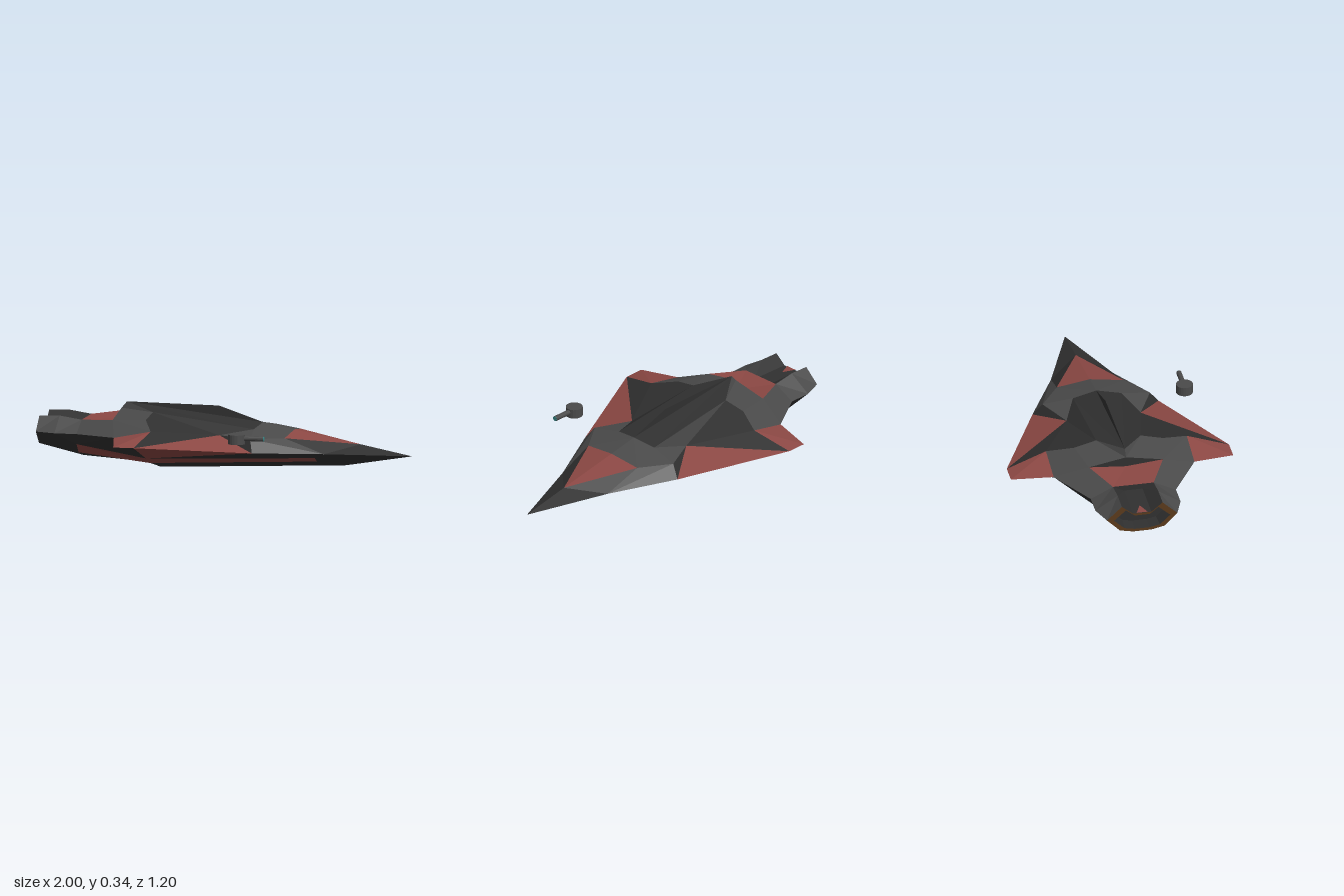
import * as THREE from 'three';

const DARK = 0x303030, GREY = 0x4a4a4a, RED = 0x8c4844, BROWN = 0x5a3a1c;
const UP = [0, 1, 0], DOWN = [0, -1, 0], BACK = [-1, 0, 0];

// Key hull points of the +z half; x runs towards the nose
const P = {
  // outline, nose to tail
  N: [1, 0.1, 0], O1: [0.56, 0.12, 0.167], O2: [0.21, 0.137, 0.34],
  W1: [-0.37, 0.182, 0.6], W2: [-0.48, 0.182, 0.6], O3: [-0.53, 0.2, 0.38],
  O4: [-0.77, 0.19, 0.23], O5: [-0.89, 0.19, 0.23], O6: [-1, 0.19, 0.19],
  // raised deck
  R0: [-0.55, 0.34, 0], R1: [-0.05, 0.335, 0], F0: [0.19, 0.255, 0], F1: [0.17, 0.235, 0.13],
  D: [-0.38, 0.305, 0.12], H: [-0.39, 0.28, 0.24], S: [-0.33, 0.24, 0.38],
  RE: [-0.58, 0.268, 0.2], RC: [-0.58, 0.305, 0], RB: [-0.58, 0.25, 0],
  // shoulders and nose top
  I0: [0, 0.207, 0.2], I1: [0.19, 0.205, 0.29], G0: [0.36, 0.222, 0],
  G1: [0.35, 0.2, 0.18], T0: [0.72, 0.155, 0],
  // tail top with its centre channel
  Q: [-0.77, 0.25, 0.11], Q0: [-0.77, 0.25, 0], E1: [-0.89, 0.268, 0.11], E2: [-1, 0.265, 0.11],
  C1: [-0.77, 0.22, 0.05], C2: [-1, 0.215, 0.05], C10: [-0.77, 0.22, 0], C20: [-1, 0.215, 0],
  M0: [-0.93, 0.219, 0], M1: [-1, 0.218, 0.03], M2: [-1, 0.218, 0],
  // keel and lower chines
  K0: [0.64, 0.04, 0], K1: [-0.36, 0, 0.02], K2: [-0.4, 0.022, 0.02], K3: [-0.78, 0.05, 0.03],
  K4: [-1, 0.105, 0.05], Z1: [-0.36, 0, 0], Z2: [-0.4, 0.022, 0], Z3: [-0.78, 0.05, 0], Z4: [-1, 0.105, 0],
  a1: [0.5, 0.065, 0.07], a2: [-0.37, 0.05, 0.23], a3: [-0.78, 0.08, 0.14],
  b1: [0.5, 0.09, 0.12], b2: [-0.37, 0.087, 0.32], b3: [-0.78, 0.13, 0.185],
  T: [-1, 0.12, 0.12],
};

// Nozzle opening: inset copies of the tail section, recessed for the back wall
const rim = ['C20', 'C2', 'E2', 'O6', 'T', 'K4', 'Z4'];
for (const k of rim) {
  const [, y, z] = P[k];
  P['i' + k] = [-1, 0.165 + (y - 0.165) * 0.75, z * 0.8];
  P['j' + k] = [-0.92, 0.165 + (y - 0.165) * 0.7, z * 0.75];
}
const ring = (a, b) => rim.slice(1).map((k, i) => [a + rim[i], a + k, b + k, b + rim[i]].join(' '));

// Panels: name, color, facing, polygons as point names (fanned from the first)
const panels = [
  ['deck', DARK, UP, ['R0 R1 F0 F1 D', 'I0 W1 S H D F1']],
  ['deckRear', GREY, UP, ['R0 D RC', 'D H RE RC']],
  ['deckBackWall', DARK, BACK, ['RC RE RB']],
  ['rearShoulder', GREY, UP, ['RE H S O3 O4 Q']],
  ['rearSaddle', RED, UP, ['RB RE Q Q0']],
  ['wingTop', RED, UP, ['I0 W1 O2', 'S W1 W2 O3']],
  ['intakeSide', DARK, UP, ['I0 I1 O2']],
  ['frontShoulder', GREY, UP, ['F0 F1 G1 G0', 'F1 I0 I1 G1', 'I1 O2 O1 G1']],
  ['nosePanel', RED, UP, ['G0 G1 T0']],
  ['noseSide', DARK, UP, ['G1 O1 T0', 'T0 O1 N']],
  ['tailRidge', GREY, UP, ['Q O4 O5 E1', 'E1 O5 O6 E2']],
  ['tailChannel', DARK, UP, ['C1 Q E1 E2 C2', 'C10 C1 C2 C20']],
  ['channelStep', DARK, BACK, ['Q0 Q C1 C10']],
  ['tailMark', RED, UP, ['M0 M1 M2']],
  ['belly', DARK, DOWN, ['N O1 b1 a1 K0', 'K0 a1 a2 K1', 'K1 a2 K2', 'K2 a2 a3 K3', 'K3 a3 T K4',
    'K0 K1 Z1', 'K1 K2 Z2 Z1', 'K2 K3 Z3 Z2', 'K3 K4 Z4 Z3']],
  ['lowerSide', DARK, DOWN, ['O1 O2 b2 b1', 'W1 W2 O3 b2', 'O3 O4 b3 b2', 'O5 O6 T a3 b3 O4']],
  ['bellyStripe', RED, DOWN, ['a1 b1 b2 a2', 'a2 b2 b3 a3']],
  ['wingUnderside', RED, DOWN, ['O2 W1 b2']],
  ['nozzleRim', BROWN, BACK, ring('', 'i')],
  ['nozzleWall', DARK, BACK, ring('i', 'j')],
  ['nozzleBack', DARK, BACK, ['jO6 jT jK4 jZ4 jC20 jC2 jE2']],
];

const material = (color) => new THREE.MeshStandardMaterial({ color, flatShading: true, side: THREE.DoubleSide });

// Fan each polygon, turn it towards its facing and mirror it across z
function panelGeometry(facing, polys) {
  const out = [], hint = new THREE.Vector3(...facing);
  for (const poly of polys) {
    const pts = poly.split(' ').map((k) => P[k]);
    for (const s of [1, -1]) {
      const v = pts.map(([x, y, z]) => new THREE.Vector3(x, y, z * s));
      for (let i = 1; i < v.length - 1; i++) {
        const tri = [v[0], v[i], v[i + 1]];
        const n = new THREE.Triangle(...tri).getNormal(new THREE.Vector3());
        if (n.dot(hint) < 0) tri.reverse();
        tri.forEach((p) => out.push(p.x, p.y, p.z));
      }
    }
  }
  const g = new THREE.BufferGeometry();
  g.setAttribute('position', new THREE.Float32BufferAttribute(out, 3));
  g.computeVertexNormals();
  return g;
}

function addMesh(parent, name, geometry, color) {
  const mesh = new THREE.Mesh(geometry, material(color));
  mesh.name = name;
  parent.add(mesh);
  return mesh;
}

export function createModel() {
  const model = new THREE.Group();
  model.name = 'spaceship';

  const hull = new THREE.Group();
  hull.name = 'hull';
  for (const [name, color, facing, polys] of panels) addMesh(hull, name, panelGeometry(facing, polys), color);
  model.add(hull);

  // Small gun turret floating off the +z side
  const turret = new THREE.Group();
  turret.name = 'turret';
  turret.position.set(0.16, 0.23, 0.47);
  addMesh(turret, 'turretBase', new THREE.CylinderGeometry(0.045, 0.045, 0.05, 20), GREY);
  const barrel = addMesh(turret, 'turretBarrel', new THREE.CylinderGeometry(0.014, 0.014, 0.146, 14), GREY);
  barrel.rotation.z = -Math.PI / 2;
  barrel.position.set(0.073, 0.006, 0);
  const tip = addMesh(turret, 'barrelTip', new THREE.CylinderGeometry(0.0135, 0.0135, 0.003, 14), 0x3a8a8a);
  tip.rotation.z = -Math.PI / 2;
  tip.position.set(0.146, 0.006, 0);
  model.add(turret);

  return model;
}
